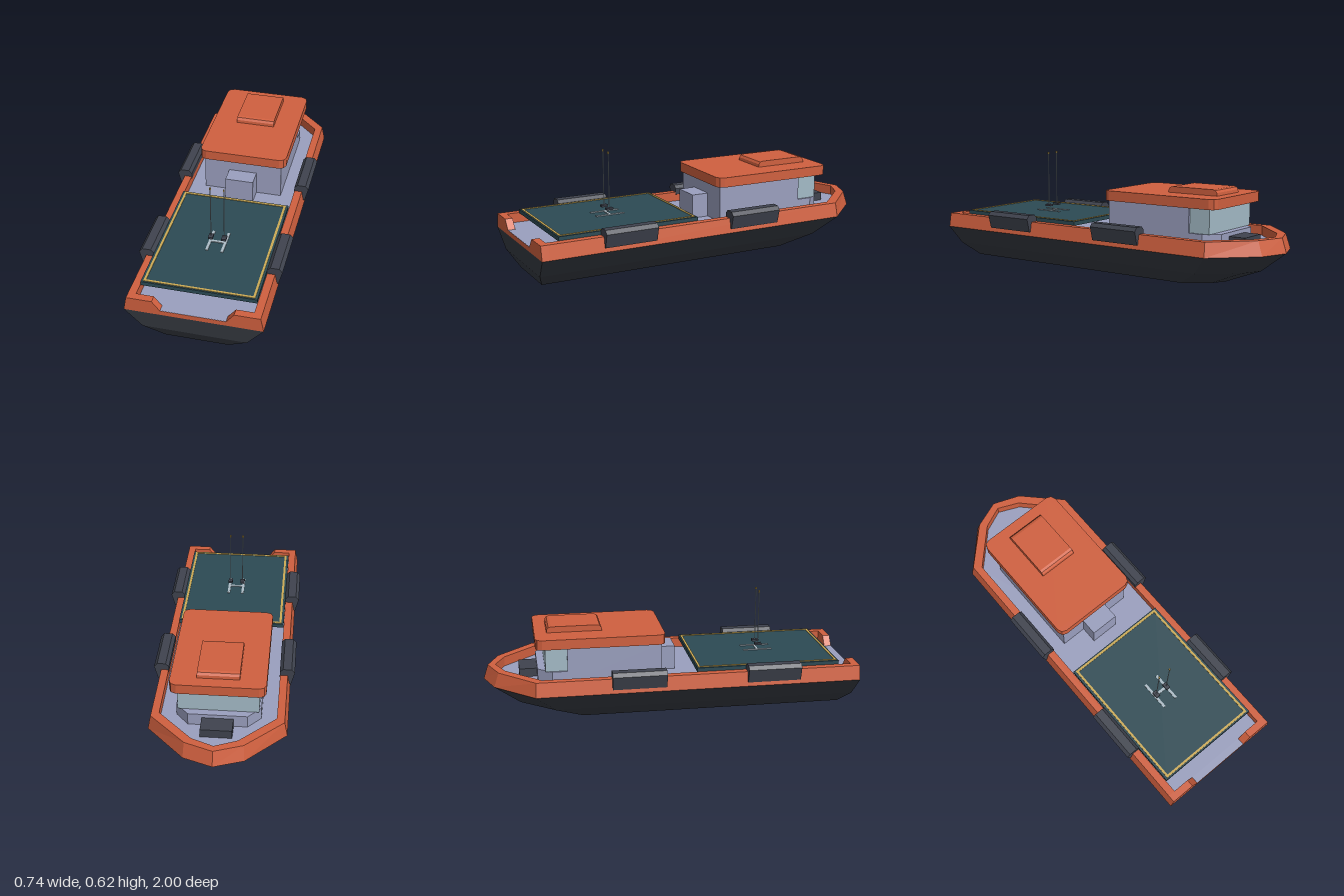
import * as THREE from 'three';

const paint = (name, color) => {
  const m = new THREE.MeshStandardMaterial({ color });
  m.name = name;
  return m;
};

// Mirrors a half outline (stern corner to bow tip, [x, z]) into a full loop at height y
const loop = (y, half) => [
  ...half.map(([x, z]) => [x, y, z]),
  ...half.slice(0, -1).reverse().map(([x, z]) => [-x, y, z]),
];

// Faceted skin through a stack of loops, with optional flat caps
function loft(loops, { closed = true, bottom = false, top = false } = {}) {
  const pos = [];
  const tri = (...pts) => pts.forEach((p) => pos.push(...p));
  for (let i = 0; i + 1 < loops.length; i++) {
    const a = loops[i], b = loops[i + 1], n = a.length;
    for (let j = 0; j < (closed ? n : n - 1); j++) {
      const k = (j + 1) % n;
      tri(a[j], a[k], b[k]);
      tri(a[j], b[k], b[j]);
    }
  }
  const first = loops[0], last = loops[loops.length - 1];
  for (let j = 1; j + 1 < first.length; j++) {
    if (bottom) tri(first[0], first[j + 1], first[j]);
    if (top) tri(last[0], last[j], last[j + 1]);
  }
  const g = new THREE.BufferGeometry();
  g.setAttribute('position', new THREE.Float32BufferAttribute(pos, 3));
  g.computeVertexNormals();
  return g;
}

// Extrudes a polygon along z from z0 to z1
function prism(points, z0, z1) {
  const shape = new THREE.Shape(points.map(([x, y]) => new THREE.Vector2(x, y)));
  return new THREE.ExtrudeGeometry(shape, { depth: z1 - z0, bevelEnabled: false }).translate(0, 0, z0);
}

// Rectangle with rounded corners, as a polygon
function roundedRect(x0, x1, y0, y1, r, steps = 3) {
  const pts = [];
  [[x1 - r, y1 - r], [x0 + r, y1 - r], [x0 + r, y0 + r], [x1 - r, y0 + r]].forEach(([cx, cy], q) => {
    for (let i = 0; i <= steps; i++) {
      const a = (q + i / steps) * Math.PI / 2;
      pts.push([cx + r * Math.cos(a), cy + r * Math.sin(a)]);
    }
  });
  return pts;
}

export function createModel() {
  const model = new THREE.Group();
  model.name = 'supplyBoat';

  const orange = paint('orange', 0xd0603f);
  const hullGrey = paint('hullGrey', 0x363a42);
  const lavender = paint('lavenderGrey', 0x9a9fbe);
  const rubber = paint('rubberGrey', 0x3f434e);
  const teal = paint('padTeal', 0x2c4a54);
  const yellow = paint('yellow', 0xcbaa55);
  const glass = paint('glass', 0xa3bac6);
  const metal = paint('paleMetal', 0xadbcc6);

  const add = (name, geometry, material, parent = model) => {
    const mesh = new THREE.Mesh(geometry, material);
    mesh.name = name;
    parent.add(mesh);
    return mesh;
  };
  // Box given by its limits on each axis
  const box = (name, x0, x1, y0, y1, z0, z1, material, parent) =>
    add(name, new THREE.BoxGeometry(x1 - x0, y1 - y0, z1 - z0)
      .translate((x0 + x1) / 2, (y0 + y1) / 2, (z0 + z1) / 2), material, parent);

  // Hull with two chines
  add('hull', loft([
    loop(0, [[0.16, 0.94], [0.16, -0.48], [0.07, -0.61], [0, -0.65]]),
    loop(0.08, [[0.265, 0.985], [0.265, -0.63], [0.115, -0.81], [0, -0.86]]),
    loop(0.185, [[0.35, 1], [0.35, -0.735], [0.15, -0.945], [0, -1]]),
  ], { bottom: true, top: true }), hullGrey);

  // Bulwark: outer wall, rim and inner wall, open at the stern
  const inner = (z) => [[0.295, z], [0.295, -0.7], [0.115, -0.885], [0, -0.935]];
  add('bulwark', loft([
    loop(0.185, [[0.35, 0.96], [0.35, -0.735], [0.15, -0.945], [0, -1]]),
    loop(0.262, [[0.335, 0.96], [0.335, -0.73], [0.145, -0.92], [0, -0.975]]),
    loop(0.262, inner(0.96)),
    loop(0.2, inner(0.96)),
  ], { closed: false }), orange);
  add('sternBulwark', prism([
    [-0.35, 0.185], [0.35, 0.185], [0.335, 0.262], [0.205, 0.262],
    [0.165, 0.21], [-0.165, 0.21], [-0.205, 0.262], [-0.335, 0.262],
  ], 0.96, 1), orange);

  // Deck, with a strip through the stern gap
  add('deck', loft([loop(0.21, inner(0.96))], { closed: false, top: true }), lavender);
  box('sternThreshold', -0.165, 0.165, 0.207, 0.211, 0.96, 0.999, lavender);

  // Cabin
  const cabin = new THREE.Group();
  cabin.name = 'cabin';
  model.add(cabin);
  box('cabinWalls', -0.215, 0.215, 0.21, 0.405, -0.56, -0.06, lavender, cabin);
  const ledge = [[0.215, -0.56], [0.215, -0.64], [0.15, -0.715]];
  add('windowLedge', loft([0.21, 0.275].map((y) => [
    ...ledge.map(([x, z]) => [x, y, z]),
    ...ledge.slice().reverse().map(([x, z]) => [-x, y, z]),
  ]), { top: true }), lavender, cabin);
  box('bridgeWindow', -0.205, 0.205, 0.275, 0.405, -0.675, -0.56, glass, cabin);
  box('aftLocker', -0.077, 0.077, 0.21, 0.34, -0.06, 0.033, lavender, cabin);
  add('roof', prism(roundedRect(-0.24, 0.24, 0.04, 0.725, 0.035, 2), 0.405, 0.458)
    .rotateX(-Math.PI / 2), orange, cabin);

  // Roof hatch: rounded along its fore and aft edges
  add('roofHatch', prism([
    [0.365, 0.455], [0.66, 0.455], [0.658, 0.474], [0.649, 0.486], [0.635, 0.49],
    [0.39, 0.49], [0.376, 0.486], [0.367, 0.474],
  ], -0.107, 0.107).rotateY(Math.PI / 2), orange, cabin);

  box('foredeckWinch', -0.08, 0.08, 0.21, 0.255, -0.81, -0.7, rubber);

  // Landing pad with border and marking
  const pad = new THREE.Group();
  pad.name = 'landingPad';
  model.add(pad);
  box('padPlate', -0.294, 0.294, 0.26, 0.282, 0.118, 0.893, teal, pad);
  for (const s of [-1, 1]) {
    const x = s * 0.276, z = 0.505 + s * 0.374;
    box('borderSide', x - 0.006, x + 0.006, 0.281, 0.285, 0.125, 0.885, yellow, pad);
    box('borderEnd', -0.27, 0.27, 0.281, 0.285, z - 0.006, z + 0.006, yellow, pad);
    box('markingBar', s * 0.04 - 0.007, s * 0.04 + 0.007, 0.281, 0.286, 0.425, 0.585, metal, pad);
  }
  box('markingCrossbar', -0.033, 0.033, 0.281, 0.286, 0.498, 0.512, metal, pad);

  // Pair of masts
  for (const s of [-1, 1]) {
    const mast = new THREE.Group();
    mast.name = 'mast';
    mast.position.set(s * 0.035, 0, 0.508);
    model.add(mast);
    box('mastFoot', -0.012, 0.012, 0.309, 0.32, -0.018, 0.018, rubber, mast);
    add('mastPole', new THREE.CylinderGeometry(0.0025, 0.0025, 0.295, 8).translate(0, 0.465, 0), metal, mast);
    add('mastCap', new THREE.CylinderGeometry(0.005, 0.005, 0.011, 8).translate(0, 0.615, 0), yellow, mast);
  }

  // Fenders hooked over the bulwark
  const fender = [[0.293, 0.25], [0.34, 0.207], [0.353, 0.207], [0.372, 0.28], [0.355, 0.3], [0.31, 0.3], [0.293, 0.283]];
  for (const s of [-1, 1]) {
    for (const [z0, z1] of [[-0.338, -0.052], [0.382, 0.668]]) {
      add('fender', prism(fender.map(([x, y]) => [s * x, y]), z0, z1), rubber);
    }
  }
  return model;
}
